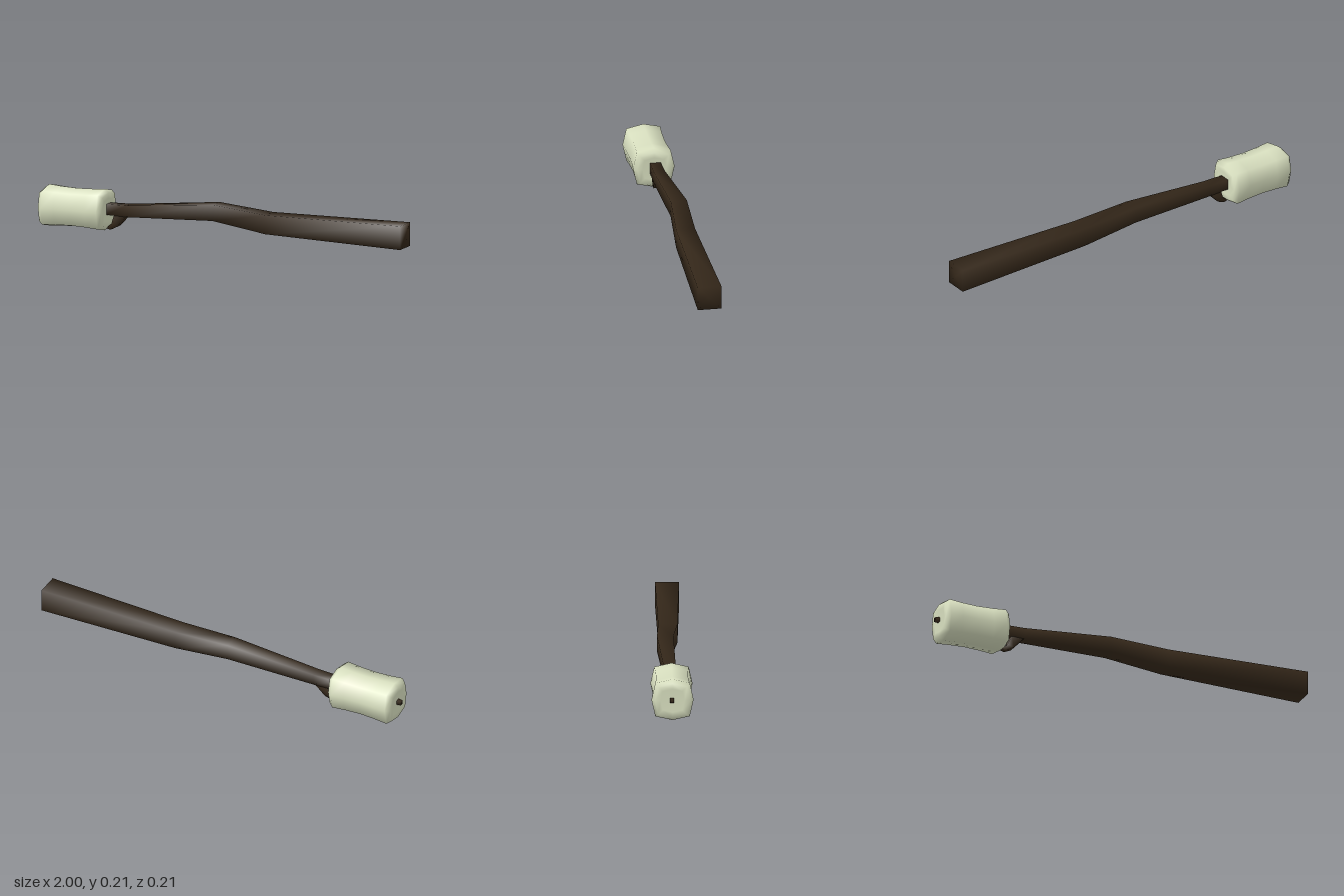
import * as THREE from 'three';

// Closed skin over a list of rings (each an array of Vector3, same count)
function loft(rings) {
  const n = rings[0].length, pos = [], idx = [];
  const centre = ring => ring.reduce((s, p) => s.add(p), new THREE.Vector3()).divideScalar(n);
  rings.forEach(r => r.forEach(p => pos.push(p.x, p.y, p.z)));
  for (let i = 0; i < rings.length - 1; i++) {
    for (let j = 0; j < n; j++) {
      const a = i * n + j, b = i * n + (j + 1) % n;
      idx.push(a, b, a + n, b, b + n, a + n);
    }
  }
  const first = rings.length * n, last = first + 1, end = (rings.length - 1) * n;
  for (const r of [rings[0], rings[rings.length - 1]]) pos.push(...centre(r).toArray());
  for (let j = 0; j < n; j++) {
    const k = (j + 1) % n;
    idx.push(first, k, j, last, end + j, end + k);
  }
  const g = new THREE.BufferGeometry();
  g.setAttribute('position', new THREE.Float32BufferAttribute(pos, 3));
  g.setIndex(idx);
  g.computeVertexNormals();
  return g;
}

// Square ring across x, wound so that a loft towards +x faces outwards
const square = (x, y, z, h) => [[-1, -1], [1, -1], [1, 1], [-1, 1]]
  .map(([a, b]) => new THREE.Vector3(x, y - a * h, z + b * h)).reverse();

// Rounded-square ring of eight points
function octagon(x, r) {
  return Array.from({ length: 8 }, (_, i) => {
    const a = i * Math.PI / 4, d = r * (i % 2 ? 1.155 : 1);
    return new THREE.Vector3(x, 0.106 + d * Math.cos(a), d * Math.sin(a));
  });
}

export function createModel() {
  const group = new THREE.Group();
  const bark = new THREE.MeshStandardMaterial({ color: 0x35281a });
  const cream = new THREE.MeshStandardMaterial({ color: 0xd9e0c0 });
  const add = (name, geometry, material) => {
    const mesh = new THREE.Mesh(geometry, material);
    mesh.name = name;
    group.add(mesh);
  };

  // Crooked square stick, thin at the toasted end: x, y, z, half width
  add('stick', loft([
    [-1, 0.11, -0.003, 0.01],
    [-0.64, 0.112, -0.004, 0.027],
    [-0.52, 0.112, -0.004, 0.029],
    [-0.05, 0.143, -0.02, 0.041],
    [0.25, 0.112, -0.002, 0.048],
    [1, 0.11, 0.008, 0.06],
  ].map(s => square(...s))), bark);

  // Short twig hooking down from the stick: left x, left y, right x, right y, half depth
  add('twig', loft([
    [-0.643, 0.014, -0.618, 0.008, 0.012],
    [-0.61, 0.04, -0.578, 0.028, 0.019],
    [-0.59, 0.09, -0.52, 0.09, 0.026],
  ].map(([x0, y0, x1, y1, d]) => [
    new THREE.Vector3(x0, y0, d - 0.004),
    new THREE.Vector3(x1, y1, d - 0.004),
    new THREE.Vector3(x1, y1, -d - 0.004),
    new THREE.Vector3(x0, y0, -d - 0.004),
  ])), bark);

  // Puffy marshmallow with a slight waist: offset from its middle, radius
  const half = [[0.172, 0.06], [0.174, 0.088], [0.152, 0.105], [0.085, 0.1]];
  const profile = [
    ...half.map(([o, r]) => [-o, r]),
    [0, 0.097],
    ...half.slice().reverse(),
  ];
  add('marshmallow', loft(profile.map(([o, r]) => octagon(-0.805 + o, r))), cream);

  return group;
}
